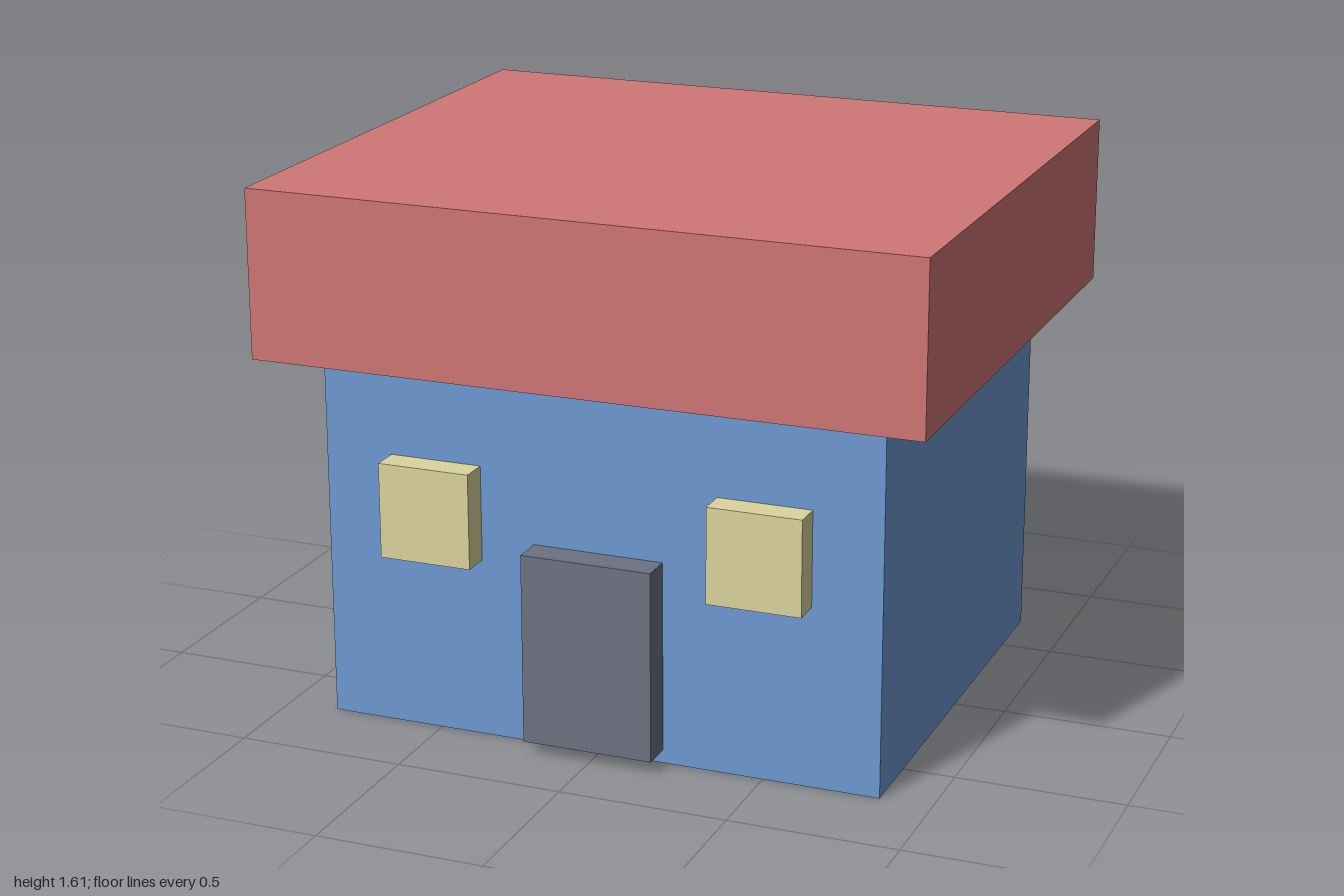
import * as THREE from 'three';

const paint = (color) => new THREE.MeshStandardMaterial({ color });

// Box given by its lower and upper corners
function block(name, [x0, y0, z0], [x1, y1, z1], material) {
  const mesh = new THREE.Mesh(new THREE.BoxGeometry(x1 - x0, y1 - y0, z1 - z0), material);
  mesh.position.set((x0 + x1) / 2, (y0 + y1) / 2, (z0 + z1) / 2);
  mesh.name = name;
  return mesh;
}

export function createModel() {
  const house = new THREE.Group();
  house.name = 'house';

  // Walls and overhanging flat roof
  house.add(block('walls', [-0.847, 0, -0.712], [0.847, 1.11, 0.712], paint(0x6d9ad3)));
  house.add(block('roof', [-1, 1.11, -0.856], [1, 1.61, 0.856], paint(0xd07676)));

  // Door, raised slightly above the ground
  house.add(block('door', [-0.197, 0.04, 0.66], [0.197, 0.61, 0.805], paint(0x6d7282)));

  // Matching windows either side of the door
  const glass = paint(0xdbd49e);
  for (const [name, x] of [['leftWindow', 0.5], ['rightWindow', -0.5]]) {
    house.add(block(name, [x - 0.14, 0.54, 0.66], [x + 0.14, 0.825, 0.797], glass));
  }
  return house;
}
